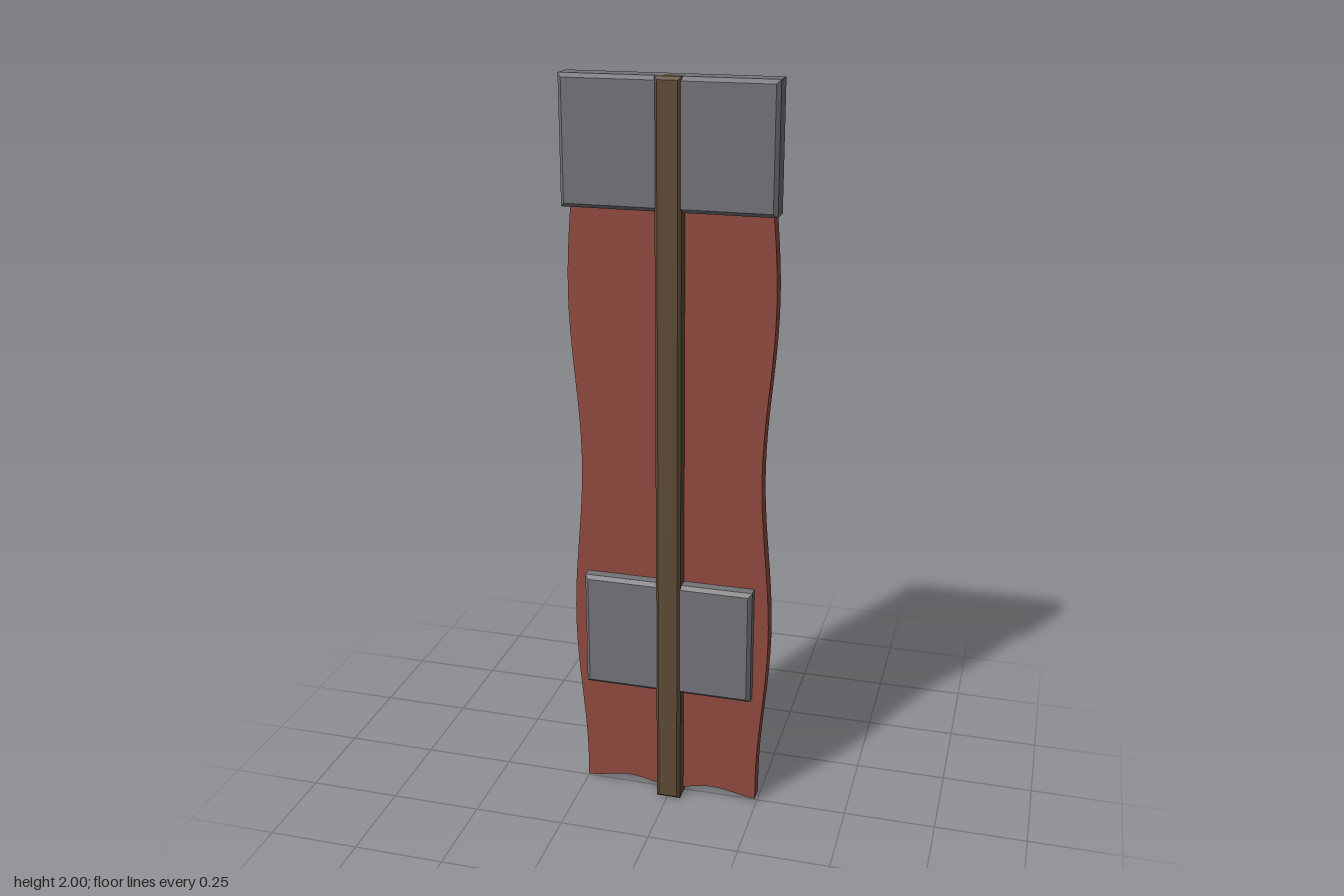
import * as THREE from 'three';

const cloth = new THREE.MeshStandardMaterial({ color: 0x914a40 });
cloth.name = 'red cloth';
const metal = new THREE.MeshStandardMaterial({ color: 0x737378 });
metal.name = 'grey metal';
const wood = new THREE.MeshStandardMaterial({ color: 0x5e4a35 });
wood.name = 'brown wood';
for (const m of [cloth, metal, wood]) m.flatShading = true;

// Box with chamfered edges, given by its outer limits
function chamferBox(name, material, [x0, x1], [y0, y1], [z0, z1], c) {
  const shape = new THREE.Shape();
  shape.moveTo(x0 + c, y0 + c);
  shape.lineTo(x1 - c, y0 + c);
  shape.lineTo(x1 - c, y1 - c);
  shape.lineTo(x0 + c, y1 - c);
  shape.closePath();
  const geometry = new THREE.ExtrudeGeometry(shape, {
    depth: z1 - z0 - 2 * c, bevelThickness: c, bevelSize: c, bevelSegments: 1,
  });
  geometry.translate(0, 0, z0 + c);
  const mesh = new THREE.Mesh(geometry, material);
  mesh.name = name;
  return mesh;
}

// Long strip with wavy sides and a scalloped lower hem
function makeBanner() {
  const top = 1.996, bottom = 0.012, steps = 40;
  const halfWidth = (y) => 0.259 - 0.0135 * Math.cos((2 * Math.PI * (y - 0.06)) / 0.93);
  const points = [];
  for (let i = 0; i <= steps; i++) {
    const y = bottom + ((top - bottom) * i) / steps;
    points.push(new THREE.Vector2(halfWidth(y), y));
  }
  for (let i = steps; i >= 0; i--) {
    points.push(new THREE.Vector2(-points[i].x, points[i].y));
  }
  const w = halfWidth(bottom);
  for (let i = 1; i < 24; i++) {
    const t = i / 24;
    points.push(new THREE.Vector2(-w + 2 * w * t, bottom + 0.018 * Math.sin(2 * Math.PI * t) ** 2));
  }
  const geometry = new THREE.ExtrudeGeometry(new THREE.Shape(points), { depth: 0.046, bevelEnabled: false });
  geometry.translate(0, 0, -0.033);
  const mesh = new THREE.Mesh(geometry, cloth);
  mesh.name = 'banner';
  return mesh;
}

export function createModel() {
  const model = new THREE.Group();
  model.name = 'hangingBanner';
  model.add(
    makeBanner(),
    chamferBox('topPlate', metal, [-0.275, 0.275], [1.675, 2], [-0.027, 0.05], 0.01),
    chamferBox('lowerPlate', metal, [-0.234, 0.232], [0.338, 0.667], [-0.057, 0.05], 0.01),
    chamferBox('centreBatten', wood, [-0.031, 0.037], [0, 2], [-0.022, 0.056], 0.008),
  );
  return model;
}
